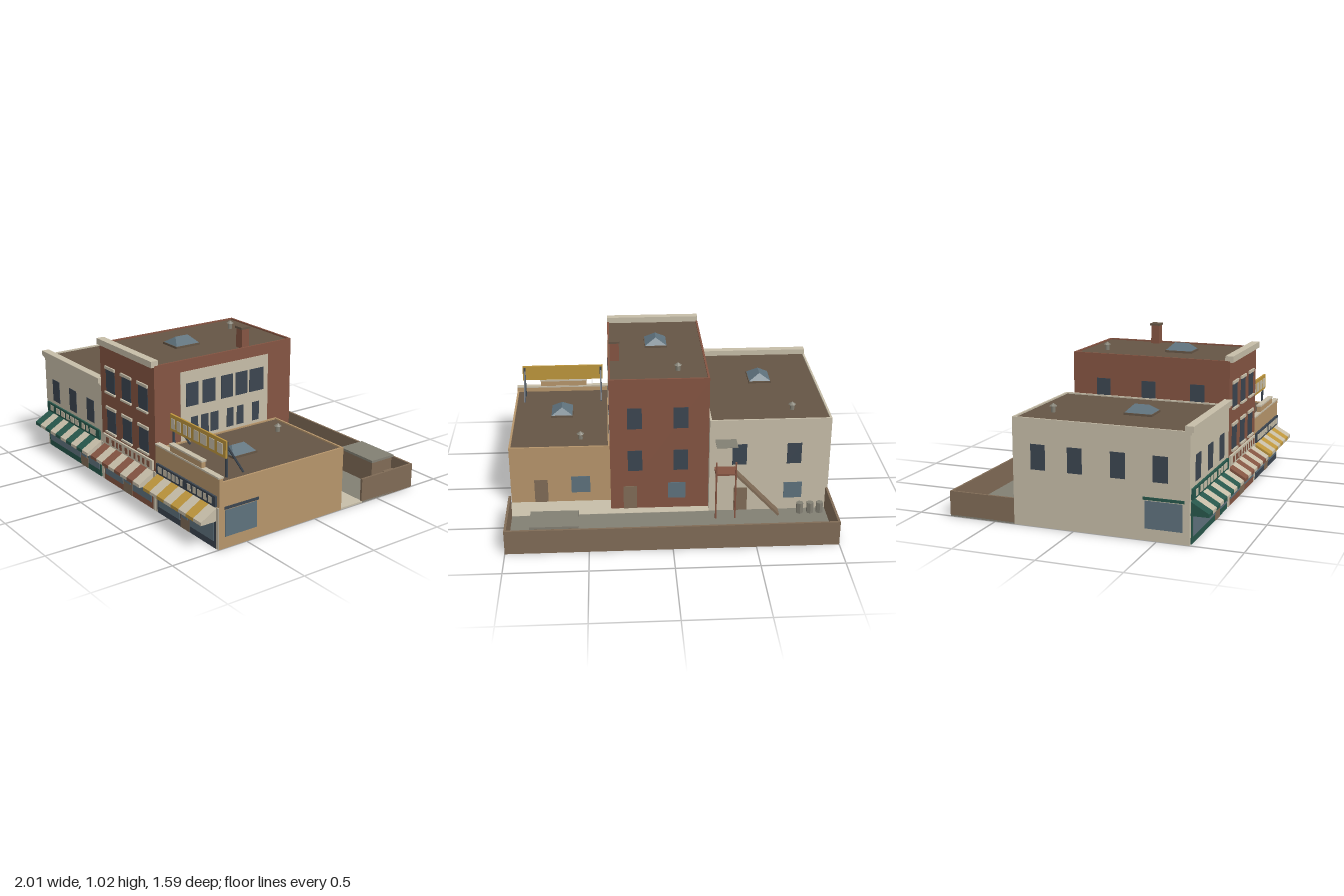
import * as THREE from 'three';
import { ConvexGeometry } from 'three/addons/geometries/ConvexGeometry.js';

const mat = (name, color) => Object.assign(new THREE.MeshStandardMaterial({ color }), { name });
const cream = mat('cream plaster', 0xc6bda8);
const brick = mat('brick red', 0x845442);
const tan = mat('tan stucco', 0xb6956b);
const tar = mat('roof brown', 0x655545);
const wood = mat('wood brown', 0x806b56);
const grey = mat('concrete grey', 0x827f73);
const slate = mat('dark slate', 0x3b4550);
const glass = mat('shop glass', 0x5e717c);
const green = mat('shop green', 0x27574b);
const mustard = mat('mustard', 0xbd953c);

function add(parent, name, geometry, material) {
  const mesh = new THREE.Mesh(geometry, material);
  mesh.name = name;
  parent.add(mesh);
  return mesh;
}

// box given by its limits on each axis
function box(parent, name, m, x0, x1, y0, y1, z0, z1) {
  const g = new THREE.BoxGeometry(x1 - x0, y1 - y0, z1 - z0);
  g.translate((x0 + x1) / 2, (y0 + y1) / 2, (z0 + z1) / 2);
  return add(parent, name, g, m);
}

// thin plates on walls facing along z or along x
const plateZ = (p, name, m, x0, x1, y0, y1, z, t = 0.003) => box(p, name, m, x0, x1, y0, y1, z - t, z + t);
const plateX = (p, name, m, z0, z1, y0, y1, x, t = 0.003) => box(p, name, m, x - t, x + t, y0, y1, z0, z1);

// square bar between two points
function bar(parent, name, m, a, b, w, d = w) {
  const from = new THREE.Vector3(...a), to = new THREE.Vector3(...b);
  const mesh = add(parent, name, new THREE.BoxGeometry(w, d, from.distanceTo(to)), m);
  mesh.position.copy(from).lerp(to, 0.5);
  mesh.lookAt(to);
  return mesh;
}

const FRONT = 0.69;

// walls, low rim and sunken roof
function shell(p, m, x0, x1, h, zBack) {
  const t = 0.012, low = h - 0.015;
  box(p, 'walls', m, x0, x1, 0, low, zBack, FRONT);
  box(p, 'roof', tar, x0 + t, x1 - t, low, low + 0.006, zBack + t, FRONT - t);
  box(p, 'roofRim', m, x0, x0 + t, low, h, zBack, FRONT);
  box(p, 'roofRim', m, x1 - t, x1, low, h, zBack, FRONT);
  box(p, 'roofRim', m, x0 + t, x1 - t, low, h, zBack, zBack + t);
  box(p, 'roofRim', m, x0 + t, x1 - t, low, h, FRONT - t, FRONT);
}

function skylight(p, x, y, z) {
  const w = 0.073, d = 0.087, b = y + 0.004, t = y + 0.046;
  box(p, 'skylightCurb', tar, x - w, x + w, y - 0.012, b, z - d, z + d);
  const pts = [[-w, b, -d], [w, b, -d], [w, b, d], [-w, b, d], [0, t, -0.047], [0, t, 0.047]];
  add(p, 'skylight', new ConvexGeometry(pts.map(([a, c, e]) => new THREE.Vector3(x + a * 0.95, c, z + e * 0.95))), glass);
}

function vent(p, x, y, z) {
  const pipe = new THREE.CylinderGeometry(0.014, 0.014, 0.04, 8).toNonIndexed();
  pipe.computeVertexNormals();
  add(p, 'ventPipe', pipe, grey).position.set(x, y + 0.008, z);
  const cap = new THREE.ConeGeometry(0.024, 0.018, 8).toNonIndexed();
  cap.computeVertexNormals();
  add(p, 'ventCap', cap, grey).position.set(x, y + 0.036, z);
}

// striped awning made of wedge slices
function awning(p, m, x0, x1, n) {
  const outline = [[0.685, 0.165], [0.795, 0.165], [0.795, 0.185], [0.685, 0.248]];
  const shape = new THREE.Shape(outline.map(([z, y]) => new THREE.Vector2(-z, y)));
  const w = (x1 - x0) / n;
  for (let i = 0; i < n; i++) {
    const g = new THREE.ExtrudeGeometry(shape, { depth: w, bevelEnabled: false });
    g.rotateY(Math.PI / 2);
    add(p, 'awningStripe', g, i % 2 ? cream : m).position.x = x0 + i * w;
  }
}

// frame, two panes, glazed door, sign band with plain blocks
function shopfront(p, frame, x0, x1, d0, d1, band, blockMat, blocks) {
  box(p, 'shopFrame', frame, x0, x1, 0, 0.17, FRONT - 0.01, FRONT + 0.006);
  const z = FRONT + 0.007;
  plateZ(p, 'shopWindow', glass, x0 + 0.017, d0 - 0.008, 0.042, 0.162, z);
  plateZ(p, 'shopWindow', glass, d1 + 0.008, x1 - 0.017, 0.042, 0.162, z);
  plateZ(p, 'shopDoor', wood, d0, d1, 0.002, 0.165, z);
  plateZ(p, 'doorPane', glass, d0 + 0.012, d1 - 0.012, 0.07, 0.158, z + 0.002);
  box(p, 'signBand', band, x0, x1, 0.252, 0.316, FRONT - 0.01, FRONT + 0.012);
  for (const [a, b] of blocks) plateZ(p, 'signBlock', blockMat, a, b, 0.265, 0.303, FRONT + 0.012);
}

function leftBuilding(p) {
  shell(p, cream, -1, -0.25, 0.64, -0.375);
  box(p, 'cornice', cream, -1, -0.252, 0.635, 0.67, 0.66, 0.71);
  box(p, 'corniceMoulding', cream, -1, -0.252, 0.62, 0.635, 0.68, 0.698);
  for (const x of [-0.855, -0.625, -0.395]) plateZ(p, 'window', slate, x - 0.046, x + 0.046, 0.34, 0.49, FRONT);
  for (const z of [-0.217, 0.01, 0.27, 0.52]) plateX(p, 'sideWindow', slate, z - 0.045, z + 0.045, 0.34, 0.49, -0.999);
  plateX(p, 'sideShopWindow', glass, 0.43, 0.65, 0.07, 0.23, -0.999);
  plateX(p, 'sideLintel', green, 0.42, 0.66, 0.235, 0.252, -0.999, 0.005);
  for (const x of [-0.777, -0.436]) plateZ(p, 'backWindow', slate, x - 0.045, x + 0.045, 0.335, 0.475, -0.375);
  plateZ(p, 'backPane', glass, -0.835, -0.72, 0.09, 0.2, -0.375);
  plateZ(p, 'backDoor', wood, -0.49, -0.405, 0.01, 0.17, -0.375);
  shopfront(p, green, -0.975, -0.275, -0.532, -0.442, green, cream,
    [[-0.93, -0.89], [-0.85, -0.8], [-0.78, -0.73], [-0.71, -0.67], [-0.65, -0.605], [-0.59, -0.54], [-0.5, -0.46], [-0.44, -0.415], [-0.39, -0.32]]);
  awning(p, green, -0.98, -0.27, 10);
  skylight(p, -0.628, 0.64, 0.275);
  vent(p, -0.775, 0.64, -0.22);
}

function middleBuilding(p) {
  shell(p, brick, -0.25, 0.365, 0.9, -0.32);
  box(p, 'cornice', cream, -0.25, 0.365, 0.892, 0.93, 0.66, 0.71);
  for (const x of [-0.13, 0.056, 0.242]) {
    for (const y of [0.345, 0.605]) {
      plateZ(p, 'window', slate, x - 0.051, x + 0.051, y, y + 0.145, FRONT);
      box(p, 'lintel', cream, x - 0.058, x + 0.058, y + 0.145, y + 0.163, FRONT - 0.01, FRONT + 0.01);
      box(p, 'sill', cream, x - 0.058, x + 0.058, y - 0.012, y, FRONT - 0.01, FRONT + 0.014);
    }
  }
  // pale panel with two window rows
  plateX(p, 'sidePanel', cream, -0.14, 0.51, 0.39, 0.83, 0.365);
  for (const [a, b] of [[0.383, 0.472], [0.26, 0.353], [0.128, 0.217], [0.02, 0.11], [-0.106, 0.004]])
    plateX(p, 'upperSideWindow', slate, a, b, 0.61, 0.755, 0.367);
  for (const [a, b] of [[0.387, 0.438], [0.31, 0.366], [0.238, 0.294], [0.123, 0.174], [0.047, 0.098], [-0.072, -0.02]])
    plateX(p, 'lowerSideWindow', slate, a, b, 0.42, 0.54, 0.367);
  for (const z of [-0.12, 0.176, 0.49]) plateX(p, 'sideWindow', slate, z - 0.045, z + 0.045, 0.6, 0.745, -0.25);
  for (const x of [-0.075, 0.21])
    for (const y of [0.28, 0.57]) plateZ(p, 'backWindow', slate, x - 0.045, x + 0.045, y, y + 0.14, -0.32);
  plateZ(p, 'backPane', glass, -0.105, 0.005, 0.08, 0.19, -0.32);
  plateZ(p, 'backDoor', wood, 0.2, 0.285, 0.01, 0.17, -0.32);
  for (const [a, b] of [[-0.25, -0.23], [0.345, 0.365]]) box(p, 'pilaster', cream, a, b, 0, 0.25, 0.68, 0.697);
  shopfront(p, brick, -0.23, 0.345, 0.005, 0.105, cream, brick,
    [[-0.185, -0.155], [-0.115, -0.085], [-0.065, -0.045], [-0.025, 0], [0.04, 0.065], [0.09, 0.11], [0.14, 0.16], [0.19, 0.21], [0.24, 0.26], [0.29, 0.315]]);
  awning(p, brick, -0.23, 0.345, 8);
  skylight(p, 0.054, 0.9, 0.288);
  vent(p, -0.065, 0.9, -0.17);
  box(p, 'chimney', brick, 0.294, 0.35, 0.88, 1.01, -0.004, 0.05);
  box(p, 'chimneyCap', tar, 0.288, 0.356, 1.01, 1.023, -0.01, 0.056);
}

function rightBuilding(p) {
  shell(p, tan, 0.365, 1, 0.4, -0.21);
  box(p, 'parapet', tan, 0.367, 1, 0.39, 0.422, 0.665, 0.69);
  box(p, 'parapetCap', cream, 0.367, 1, 0.422, 0.432, 0.66, 0.694);
  box(p, 'parapetStep', tan, 0.52, 0.836, 0.432, 0.468, 0.665, 0.69);
  box(p, 'stepCap', cream, 0.515, 0.841, 0.468, 0.478, 0.66, 0.694);
  plateX(p, 'sideShopWindow', glass, 0.43, 0.65, 0.07, 0.23, 0.999);
  plateX(p, 'sideLintel', slate, 0.42, 0.655, 0.235, 0.252, 0.999, 0.005);
  plateZ(p, 'backDoor', wood, 0.765, 0.85, 0.01, 0.17, -0.21);
  plateZ(p, 'backPane', glass, 0.495, 0.615, 0.075, 0.19, -0.21);
  for (const [a, b] of [[0.367, 0.388], [0.977, 0.999]]) box(p, 'pilaster', cream, a, b, 0, 0.25, 0.68, 0.695);
  shopfront(p, slate, 0.388, 0.977, 0.635, 0.722, slate, cream,
    [[0.41, 0.445], [0.465, 0.5], [0.515, 0.54], [0.555, 0.58], [0.595, 0.62], [0.64, 0.665], [0.71, 0.745], [0.765, 0.79], [0.81, 0.85], [0.87, 0.895], [0.915, 0.945]]);
  awning(p, mustard, 0.385, 0.975, 8);
  skylight(p, 0.678, 0.4, 0.323);
  vent(p, 0.55, 0.4, -0.08);

  // raised roof sign on braced posts
  box(p, 'roofSign', mustard, 0.405, 0.952, 0.508, 0.61, 0.6, 0.612);
  for (const [a, b] of [[0.42, 0.46], [0.48, 0.52], [0.545, 0.58], [0.595, 0.62], [0.65, 0.695], [0.715, 0.77], [0.8, 0.85], [0.875, 0.925]])
    plateZ(p, 'roofSignBlock', cream, a, b, 0.525, 0.588, 0.612);
  for (const x of [0.418, 0.938]) {
    box(p, 'signPost', slate, x - 0.006, x + 0.006, 0.39, 0.6, 0.589, 0.601);
    bar(p, 'signBrace', slate, [x, 0.58, 0.597], [x, 0.395, 0.45 + 0.03], 0.01);
  }
}

function yard(p) {
  box(p, 'yardFloor', grey, -1, 1, 0, 0.009, -0.795, -0.375);
  box(p, 'pavedStrip', cream, -0.25, 1, 0, 0.011, -0.38, -0.2101);
  box(p, 'backWall', wood, -1, 1, 0, 0.155, -0.797, -0.783);
  for (const x of [-1, 0.986]) box(p, 'sideWall', wood, x, x + 0.014, 0, 0.155, -0.783, -0.375);
  box(p, 'bin', wood, 0.572, 0.838, 0.01, 0.155, -0.778, -0.61);
  box(p, 'binLid', grey, 0.56, 0.85, 0.155, 0.17, -0.782, -0.598);
  box(p, 'crate', wood, 0.865, 0.945, 0.01, 0.09, -0.76, -0.68);
  for (const x of [-0.945, -0.885, -0.82]) {
    const g = new THREE.CylinderGeometry(0.023, 0.023, 0.07, 6).toNonIndexed();
    g.computeVertexNormals();
    add(p, 'barrel', g, grey).position.set(x, 0.044, -0.425);
  }
  // rear stair with landing and canopy
  box(p, 'landing', brick, -0.41, -0.28, 0.31, 0.323, -0.472, -0.376);
  for (const x of [-0.405, -0.285]) box(p, 'landingPost', brick, x - 0.005, x + 0.005, 0, 0.4, -0.474, -0.464);
  bar(p, 'stairFlight', wood, [-0.41, 0.308, -0.432], [-0.68, 0.018, -0.432], 0.075, 0.014);
  box(p, 'canopy', grey, -0.412, -0.282, 0.51, 0.513, -0.49, -0.378);
}

export function createModel() {
  const model = new THREE.Group();
  model.name = 'shopRow';
  for (const [name, build] of Object.entries({ leftBuilding, middleBuilding, rightBuilding, yard })) {
    const part = new THREE.Group();
    part.name = name;
    build(part);
    model.add(part);
  }
  return model;
}
